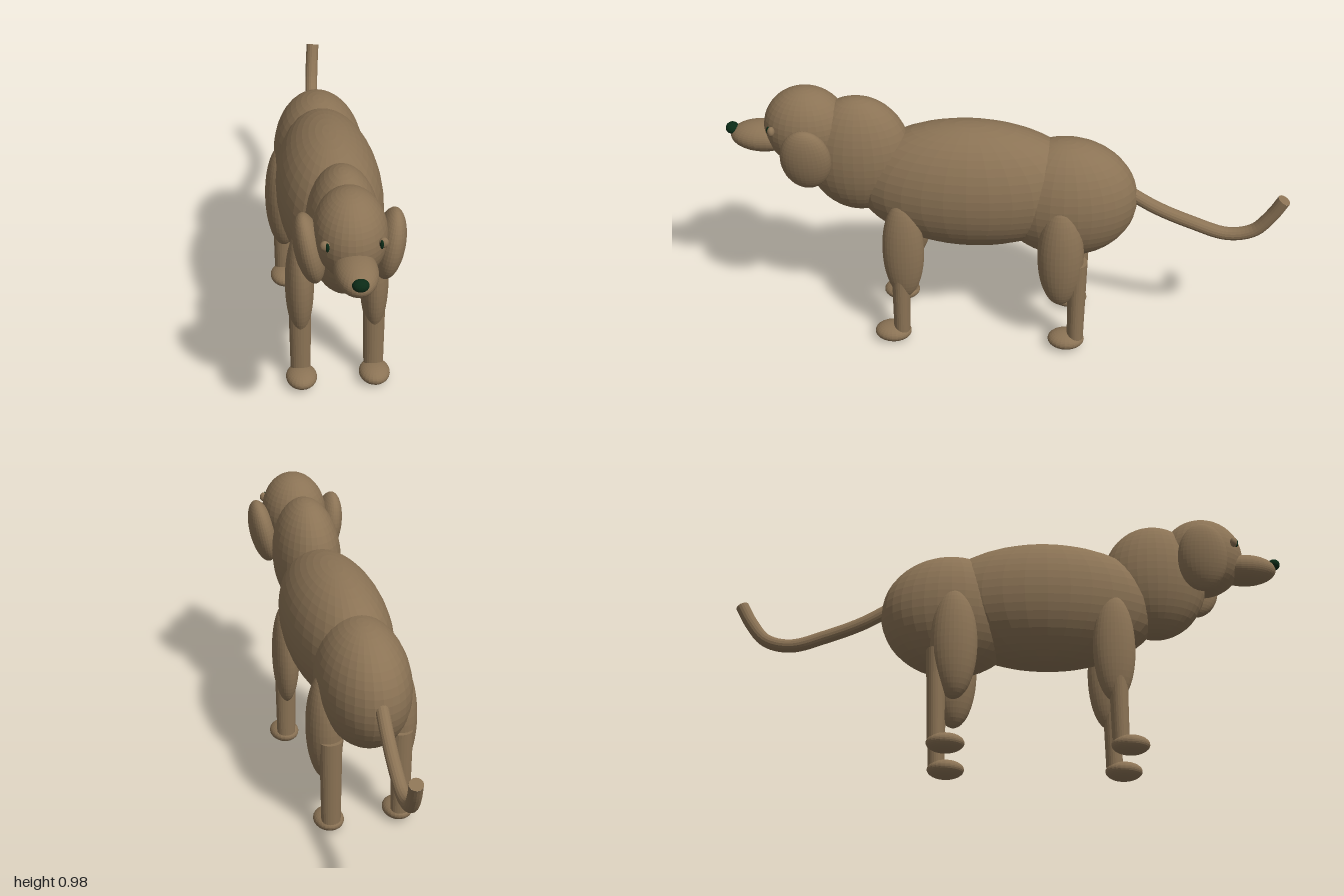
import * as THREE from 'three';

export function createModel() {
  const model = new THREE.Group();
  model.name = 'dog';

  const fur = new THREE.MeshStandardMaterial({ color: 0x8b7355 });
  fur.name = 'brown fur';
  const dark = new THREE.MeshStandardMaterial({ color: 0x0b2a16 });
  dark.name = 'dark green';

  // Lightly faceted surfaces
  const facet = (geometry) => {
    const g = geometry.toNonIndexed();
    g.computeVertexNormals();
    return g;
  };
  const add = (name, geometry, material, parent = model) => {
    const mesh = new THREE.Mesh(geometry, material);
    mesh.name = name;
    parent.add(mesh);
    return mesh;
  };
  // Ellipsoid from centre and radii, optionally tilted about z
  const blob = (name, [x, y, z], [rx, ry, rz], { material = fur, parent = model, tilt = 0, detail = 32 } = {}) => {
    const g = new THREE.SphereGeometry(1, detail, Math.round(detail * 0.75));
    g.scale(rx, ry, rz).rotateZ(tilt).translate(x, y, z);
    return add(name, facet(g), material, parent);
  };

  // Torso
  blob('body', [0, 0.617, 0.13], [0.185, 0.243, 0.42]);
  blob('hips', [0, 0.574, -0.21], [0.165, 0.231, 0.255]);
  blob('neck', [0, 0.722, 0.53], [0.125, 0.224, 0.19]);

  // Head
  const head = new THREE.Group();
  head.name = 'head';
  model.add(head);
  blob('skull', [0, 0.826, 0.71], [0.12, 0.151, 0.15], { parent: head });
  blob('muzzle', [0, 0.78, 0.868], [0.07, 0.055, 0.115], { parent: head });
  blob('nose', [0, 0.805, 0.977], [0.027, 0.02, 0.023], { parent: head, material: dark, detail: 20 });

  for (const [side, s] of [['left', 1], ['right', -1]]) {
    blob(side + 'Ear', [s * 0.13, 0.765, 0.695], [0.048, 0.126, 0.09], { parent: head, tilt: -s * 0.18 });
    blob(side + 'Eye', [s * 0.092, 0.85, 0.818], [0.016, 0.018, 0.013], { parent: head, detail: 20 });
    blob(side + 'Pupil', [s * 0.085, 0.85, 0.828], [0.006, 0.016, 0.008], { parent: head, material: dark, detail: 16 });

    // Legs: thigh, shin and paw; the shin leans slightly from ankle to knee
    const legs = [
      { name: 'FrontLeg', thigh: [0.13, 0.4, 0.365], size: [0.05, 0.205, 0.075], knee: 0.375, ankle: 0.38, paw: 0.413 },
      { name: 'BackLeg', thigh: [0.135, 0.408, -0.2], size: [0.067, 0.212, 0.083], knee: -0.262, ankle: -0.258, paw: -0.225 },
    ];
    for (const l of legs) {
      const leg = new THREE.Group();
      leg.name = side + l.name;
      model.add(leg);
      blob('thigh', [s * l.thigh[0], l.thigh[1], l.thigh[2]], l.size, { parent: leg });
      const shin = new THREE.CylinderGeometry(0.041, 0.035, 0.35, 24, 6);
      const p = shin.attributes.position;
      for (let i = 0; i < p.count; i++) {
        const t = p.getY(i) / 0.35 + 0.5;
        p.setXYZ(i, p.getX(i) + s * 0.13, 0.03 + t * 0.35,
          p.getZ(i) * 0.85 + l.ankle + t * (l.knee - l.ankle));
      }
      add('shin', facet(shin), fur, leg);
      blob('paw', [s * 0.13, 0.033, l.paw], [0.055, 0.033, 0.067], { parent: leg, detail: 24 });
    }
  }

  // Tail: a drooping tube that turns up, with a flat end
  const curve = new THREE.CatmullRomCurve3([
    [0, 0.61, -0.42], [0.012, 0.55, -0.53], [0.026, 0.502, -0.66], [0.036, 0.467, -0.79],
    [0.042, 0.49, -0.88], [0.05, 0.56, -0.937], [0.058, 0.633, -0.976],
  ].map((a) => new THREE.Vector3(...a)));
  add('tail', facet(new THREE.TubeGeometry(curve, 40, 0.024, 16)), fur);
  const tip = add('tailTip', new THREE.CircleGeometry(0.024, 16), fur);
  tip.position.copy(curve.getPoint(1));
  tip.quaternion.setFromUnitVectors(new THREE.Vector3(0, 0, 1), curve.getTangent(1));

  return model;
}
